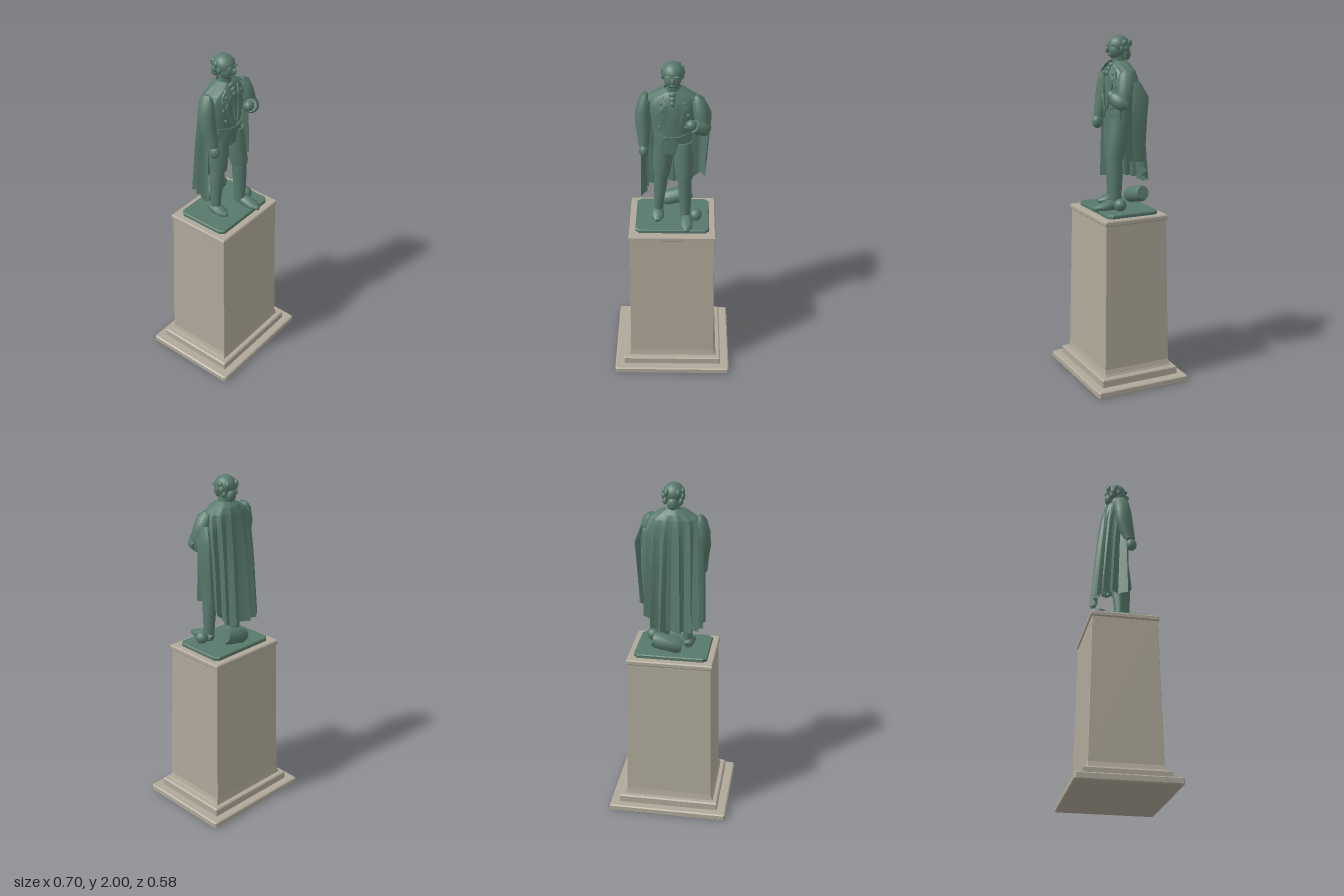
import * as THREE from 'three';
import { toCreasedNormals } from 'three/addons/utils/BufferGeometryUtils.js';

const stone = new THREE.MeshStandardMaterial({ color: 0xb0a99a });
const bronze = new THREE.MeshStandardMaterial({ color: 0x58796c });
const bronzeCloth = new THREE.MeshStandardMaterial({ color: 0x58796c, side: THREE.DoubleSide });
stone.name = 'stone';
bronze.name = 'bronze';
bronzeCloth.name = 'bronze cloth';

function indexed(pos, idx) {
  const g = new THREE.BufferGeometry();
  g.setAttribute('position', new THREE.Float32BufferAttribute(pos, 3));
  g.setIndex(idx);
  g.computeVertexNormals();
  return g;
}

// Joins equal rings of n points (running anticlockwise about the path) and caps both ends
function skin(rings, n) {
  const pos = rings.flat().flatMap(p => [p.x, p.y, p.z]);
  const idx = [];
  for (let i = 0; i < rings.length - 1; i++) for (let j = 0; j < n; j++) {
    const a = i * n + j, b = i * n + (j + 1) % n;
    idx.push(a, b, b + n, a, b + n, a + n);
  }
  [0, rings.length - 1].forEach((r, end) => {
    const c = new THREE.Vector3();
    rings[r].forEach(p => c.addScaledVector(p, 1 / n));
    const centre = pos.length / 3;
    pos.push(c.x, c.y, c.z);
    for (let j = 0; j < n; j++) {
      const a = r * n + j, b = r * n + (j + 1) % n;
      idx.push(centre, ...(end ? [a, b] : [b, a]));
    }
  });
  return indexed(pos, idx);
}

// Elliptical rings along a path; each row is [x, y, z, radius, second radius]
function sweep(rows, ref = [0, 0, 1], n = 18) {
  const pts = rows.map(r => new THREE.Vector3(r[0], r[1], r[2]));
  const up = new THREE.Vector3(...ref);
  return toCreasedNormals(skin(rows.map((r, i) => {
    const t = pts[Math.min(i + 1, pts.length - 1)].clone().sub(pts[Math.max(i - 1, 0)]).normalize();
    const s = t.clone().cross(up).normalize(), b = t.clone().cross(s);
    return Array.from({ length: n }, (_, j) => {
      const a = j / n * Math.PI * 2;
      return pts[i].clone().addScaledVector(s, r[3] * Math.cos(a)).addScaledVector(b, (r[4] ?? r[3]) * Math.sin(a));
    });
  }), n), 0.75);
}

// Stacked rectangles with cut corners; each row is [y, half width, half depth]
function block(rows, c) {
  const g = skin(rows.map(([y, w, d]) =>
    [[w, d - c], [w, c - d], [w - c, -d], [c - w, -d], [-w, c - d], [-w, d - c], [c - w, d], [w - c, d]]
      .map(([x, z]) => new THREE.Vector3(x, y, z))), 8).toNonIndexed();
  g.computeVertexNormals();
  return g;
}

const torsoRows = [[0, 1.475, 0, 0.104, 0.064], [0, 1.56, 0, 0.106, 0.068], [0, 1.67, 0, 0.118, 0.075],
  [0, 1.76, 0, 0.13, 0.074], [0, 1.81, 0, 0.108, 0.06], [0, 1.845, 0, 0.045, 0.04]];

// Front depth of the torso at a point
function chestZ(x, y) {
  let i = 0;
  while (i < torsoRows.length - 2 && y > torsoRows[i + 1][1]) i++;
  const a = torsoRows[i], b = torsoRows[i + 1], k = (y - a[1]) / (b[1] - a[1]);
  const rx = a[3] + (b[3] - a[3]) * k, rz = a[4] + (b[4] - a[4]) * k;
  return rz * Math.sqrt(Math.max(0, 1 - (x / rx) ** 2));
}

// Thin cloth panel laid over the chest
function panel(points, side, depth) {
  const pts = points.map(([x, y]) => new THREE.Vector2(x * side, y));
  const g = new THREE.ExtrudeGeometry(new THREE.Shape(pts), { depth, bevelEnabled: false });
  const p = g.attributes.position;
  for (let i = 0; i < p.count; i++) p.setZ(i, p.getZ(i) + chestZ(p.getX(i), p.getY(i)));
  g.computeVertexNormals();
  return g;
}

// Pleated cloak over shoulders and back; rows are [drop, half width, depth, opening angle, pleat depth, squareness]
function cloakGeometry() {
  const rows = [[0, 0.045, 0.045, 0.95, 0, 1], [0.025, 0.09, 0.07, 0.75, 0.002, 1], [0.055, 0.135, 0.083, 0.55, 0.004, 1],
    [0.09, 0.152, 0.089, 0.4, 0.006, 0.95], [0.17, 0.16, 0.097, 0.2, 0.01, 0.85], [0.35, 0.163, 0.113, 0.12, 0.015, 0.78],
    [0.69, 0.162, 0.137, 0.1, 0.022, 0.7]];
  const n = 36, pos = [], idx = [];
  const bend = (v, k) => Math.sign(v) * Math.abs(v) ** k;
  rows.forEach(([drop, w, d, open, fold, k], r) => {
    for (let j = 0; j <= n; j++) {
      const a = -open + (Math.PI + 2 * open) * j / n;
      const pleat = fold * [1, 0.1, -1, -0.3][j % 4] * (0.8 + 0.2 * Math.sin(j * 1.7));
      const left = r > 3 ? THREE.MathUtils.smoothstep(a, 1.9, 3) : 0;
      pos.push(-(w + 0.01 * left + pleat) * bend(Math.cos(a), k), 1.86 - drop * (1 - 0.2 * left), -(d + pleat) * bend(Math.sin(a), k));
      if (r && j) {
        const q = r * (n + 1) + j, p = q - n - 1;
        idx.push(p - 1, q, q - 1, p - 1, p, q);
      }
    }
  });
  return toCreasedNormals(indexed(pos, idx), 0.3);
}

export function createModel() {
  const model = new THREE.Group();
  model.name = 'statue';
  const add = (name, geometry, material = bronze) => {
    const m = new THREE.Mesh(geometry, material);
    m.name = name;
    model.add(m);
    return m;
  };
  const blob = (name, x, y, z, rx, ry = rx, rz = rx) => {
    const m = add(name, new THREE.SphereGeometry(1, 18, 12));
    m.position.set(x, y, z);
    m.scale.set(rx, ry, rz);
    return m;
  };

  // Pedestal
  add('bottomStep', block([[0, 0.346, 0.282], [0.006, 0.352, 0.288], [0.034, 0.352, 0.288], [0.04, 0.345, 0.281]], 0.009), stone);
  add('upperStep', block([[0.04, 0.298, 0.241], [0.08, 0.298, 0.241], [0.087, 0.291, 0.234]], 0.004), stone);
  add('shaft', block([[0.087, 0.27, 0.212], [0.1, 0.263, 0.209], [0.125, 0.256, 0.205], [0.975, 0.24, 0.188]], 0.002), stone);
  add('cap', block([[0.968, 0.241, 0.189], [0.975, 0.248, 0.196], [0.993, 0.248, 0.196], [1, 0.243, 0.191]], 0.003), stone);
  add('figureBase', block([[1, 0.211, 0.156], [1.016, 0.211, 0.156], [1.021, 0.207, 0.152]], 0.022));

  // Legs
  add('rightBreeches', sweep([[-0.053, 1.53, 0, 0.052, 0.058], [-0.054, 1.43, 0, 0.056, 0.06],
    [-0.061, 1.33, 0.003, 0.049, 0.052], [-0.063, 1.308, 0.003, 0.046, 0.049]]));
  add('rightStocking', sweep([[-0.063, 1.32, 0.002, 0.038, 0.042], [-0.068, 1.24, -0.004, 0.038, 0.043],
    [-0.08, 1.11, 0, 0.028, 0.031], [-0.083, 1.04, 0, 0.027, 0.031]]));
  add('leftBreeches', sweep([[0.058, 1.535, 0.016, 0.05, 0.058], [0.059, 1.43, 0.03, 0.054, 0.06],
    [0.064, 1.33, 0.05, 0.049, 0.053], [0.065, 1.308, 0.052, 0.046, 0.05]]));
  add('leftStocking', sweep([[0.066, 1.32, 0.052, 0.037, 0.042], [0.07, 1.24, 0.05, 0.038, 0.044],
    [0.073, 1.11, 0.052, 0.031, 0.036], [0.073, 1.04, 0.055, 0.03, 0.035]]));
  const shoe = (name, x, z, length) => add(name, sweep([[x, 1.043, z, 0.018, 0.02], [x, 1.05, z + 0.02, 0.03, 0.03],
    [x, 1.05, z + length * 0.45, 0.035, 0.03], [x, 1.042, z + length * 0.75, 0.037, 0.021],
    [x, 1.035, z + length, 0.013, 0.012]], [0, 1, 0]));
  shoe('rightShoe', -0.086, -0.04, 0.125);
  shoe('leftShoe', 0.079, 0.02, 0.167);

  // Objects on the base
  add('roll', sweep([[-0.06, 1.066, -0.1, 0.034], [-0.035, 1.07, -0.101, 0.045], [0.08, 1.1, -0.108, 0.048],
    [0.105, 1.107, -0.11, 0.038]], [0, 1, 0]));
  blob('ball', 0.132, 1.057, 0.05, 0.036);

  // Torso, coat and cloak
  add('torso', sweep(torsoRows, [0, 0, 1], 28));
  const lapel = [[0.012, 1.59], [0.016, 1.7], [0.028, 1.79], [0.05, 1.825], [0.08, 1.8], [0.09, 1.765],
    [0.062, 1.755], [0.07, 1.73], [0.045, 1.66]];
  const cutaway = [[0.004, 1.59], [0.03, 1.59], [0.07, 1.6], [0.1, 1.6], [0.098, 1.5], [0.07, 1.53]];
  for (const side of [-1, 1]) {
    add('lapel', panel(lapel, side, 0.009), bronzeCloth);
    add('coatFront', panel(cutaway, side, 0.008), bronzeCloth);
    for (const [x, y] of [[0.062, 1.79], [0.085, 1.72], [0.07, 1.65]]) blob('button', x * side, y, chestZ(x, y) + 0.006, 0.008);
  }
  for (let i = 0; i < 3; i++) blob('neckRuffle', 0, 1.835 - i * 0.022, chestZ(0, 1.835 - i * 0.022), 0.02 - i * 0.003, 0.017, 0.012);
  add('cloak', cloakGeometry(), bronzeCloth);

  // Arms
  add('rightSleeve', sweep([[-0.146, 1.822, -0.005, 0.01, 0.025], [-0.15, 1.79, -0.002, 0.031, 0.043],
    [-0.16, 1.72, 0.004, 0.041, 0.05], [-0.161, 1.64, 0.015, 0.042, 0.05], [-0.157, 1.57, 0.035, 0.034, 0.04],
    [-0.157, 1.525, 0.045, 0.03, 0.034]]));
  blob('rightHand', -0.158, 1.495, 0.056, 0.026, 0.038, 0.032);
  add('leftSleeve', sweep([[0.125, 1.812, 0.005, 0.015, 0.025], [0.137, 1.785, 0.012, 0.036, 0.045],
    [0.153, 1.72, 0.024, 0.042, 0.05], [0.164, 1.65, 0.036, 0.042, 0.048], [0.166, 1.6, 0.042, 0.026, 0.03]]));
  add('leftForearm', sweep([[0.19, 1.628, 0.025, 0.026], [0.17, 1.637, 0.045, 0.046],
    [0.14, 1.655, 0.072, 0.043], [0.118, 1.668, 0.083, 0.036]], [0, 1, 0]));
  blob('leftHand', 0.1, 1.676, 0.087, 0.031, 0.03, 0.028);
  add('cloakOverArm', sweep([[0.175, 1.75, -0.025, 0.008, 0.025], [0.198, 1.67, -0.04, 0.014, 0.052],
    [0.188, 1.5, -0.04, 0.011, 0.045], [0.172, 1.31, -0.045, 0.016, 0.038]], [0, 0, 1], 7));

  // Head
  add('neck', sweep([[0, 1.82, -0.002, 0.046, 0.04], [0, 1.86, 0, 0.036, 0.034], [0, 1.9, 0.004, 0.035, 0.036]]));
  blob('skull', 0, 1.944, -0.006, 0.058, 0.056, 0.063);
  blob('face', 0, 1.918, 0.016, 0.048, 0.052, 0.045);
  blob('nose', 0, 1.922, 0.064, 0.009, 0.018, 0.014);
  blob('mouth', 0, 1.893, 0.054, 0.017, 0.006, 0.007);
  for (const side of [-1, 1]) {
    blob('brow', 0.021 * side, 1.944, 0.053, 0.019, 0.006, 0.009);
    blob('ear', 0.053 * side, 1.925, 0.002, 0.008, 0.019, 0.012);
    [[0.05, 1.955, -0.018], [0.051, 1.93, -0.028], [0.043, 1.905, -0.036], [0.032, 1.955, -0.054]]
      .forEach(([x, y, z]) => blob('hairCurl', x * side, y, z, 0.013, 0.021, 0.018));
  }
  blob('hairBun', 0, 1.895, -0.054, 0.028, 0.036, 0.022);

  return model;
}
